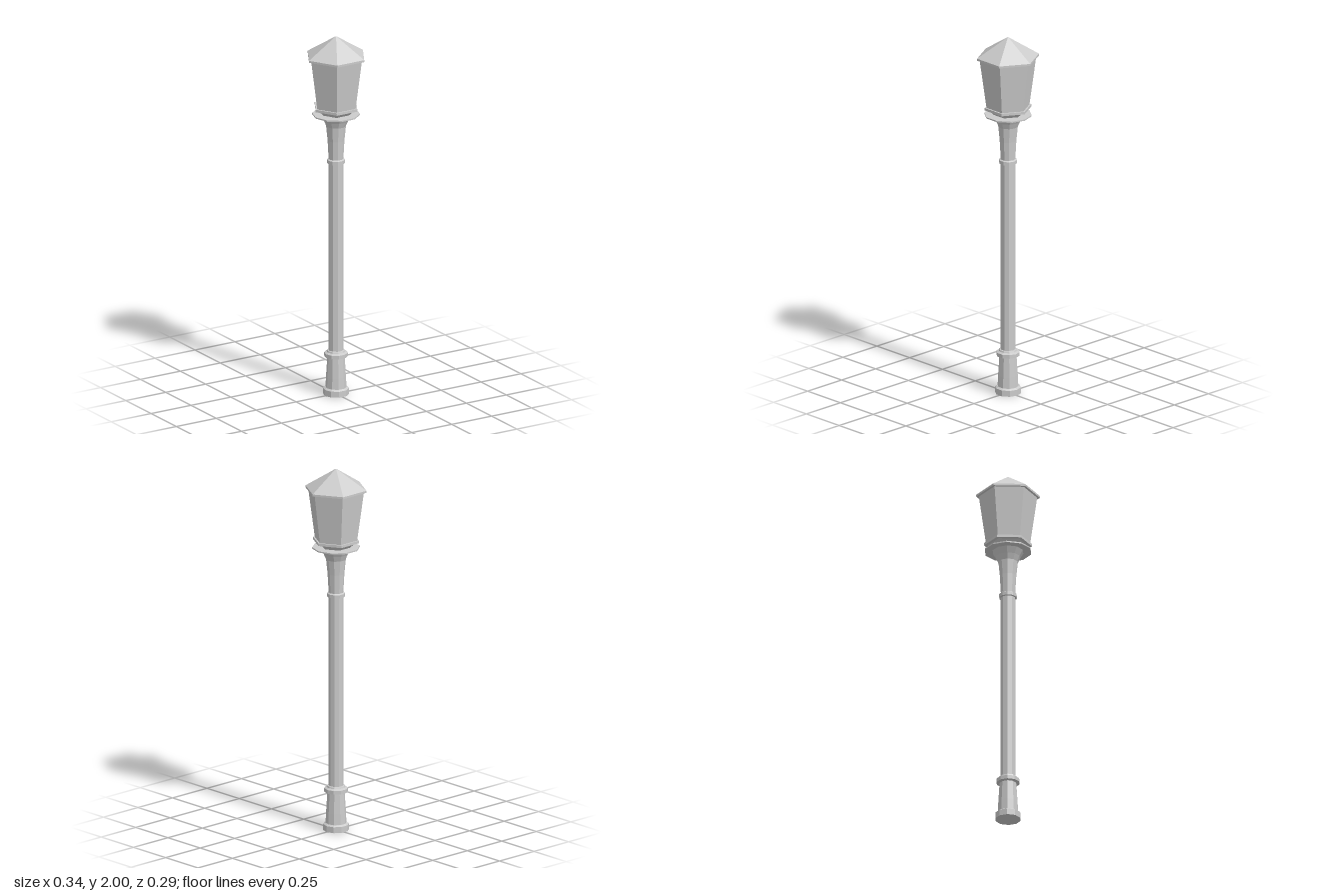
import * as THREE from 'three';

const material = new THREE.MeshStandardMaterial({ color: 0xcccccc, flatShading: true, side: THREE.DoubleSide });

// Faceted turned part from [radius, height] pairs, with a corner on the x axis
function turned(name, sides, profile) {
  const points = profile.map(([r, y]) => new THREE.Vector2(r, y));
  const mesh = new THREE.Mesh(new THREE.LatheGeometry(points, sides, Math.PI / 2), material);
  mesh.name = name;
  return mesh;
}

export function createModel() {
  const model = new THREE.Group();
  model.name = 'streetLamp';
  const POLE = 10, LANTERN = 6;

  model.add(
    // Ten-sided post, from the ground up
    turned('foot', POLE, [[0, 0], [0.069, 0], [0.069, 0.033], [0.058, 0.04], [0, 0.04]]),
    turned('pedestal', POLE, [[0.056, 0.036], [0.053, 0.1], [0.046, 0.212]]),
    turned('pedestalCollar', POLE, [[0.045, 0.208], [0.063, 0.212], [0.063, 0.232], [0.05, 0.238], [0.047, 0.246], [0.038, 0.248]]),
    turned('shaft', POLE, [[0.04, 0.236], [0.04, 1.295]]),
    turned('neckCollar', POLE, [[0.038, 1.29], [0.048, 1.293], [0.048, 1.312], [0.04, 1.317]]),
    turned('capital', POLE, [[0.039, 1.312], [0.045, 1.42], [0.053, 1.5], [0.066, 1.53], [0.084, 1.562]]),
    turned('drip plate', POLE, [[0, 1.562], [0.127, 1.562], [0.127, 1.569], [0, 1.569]]),

    // Six-sided lantern
    turned('lanternSeat', LANTERN, [[0.075, 1.567], [0.11, 1.6]]),
    turned('lanternSill', LANTERN, [[0, 1.598], [0.127, 1.598], [0.127, 1.612], [0, 1.612]]),
    turned('lanternPanes', LANTERN, [[0.117, 1.61], [0.155, 1.884]]),
    turned('roof', LANTERN, [[0, 1.882], [0.169, 1.882], [0.169, 1.893], [0.005, 1.998], [0, 2]])
  );
  return model;
}
